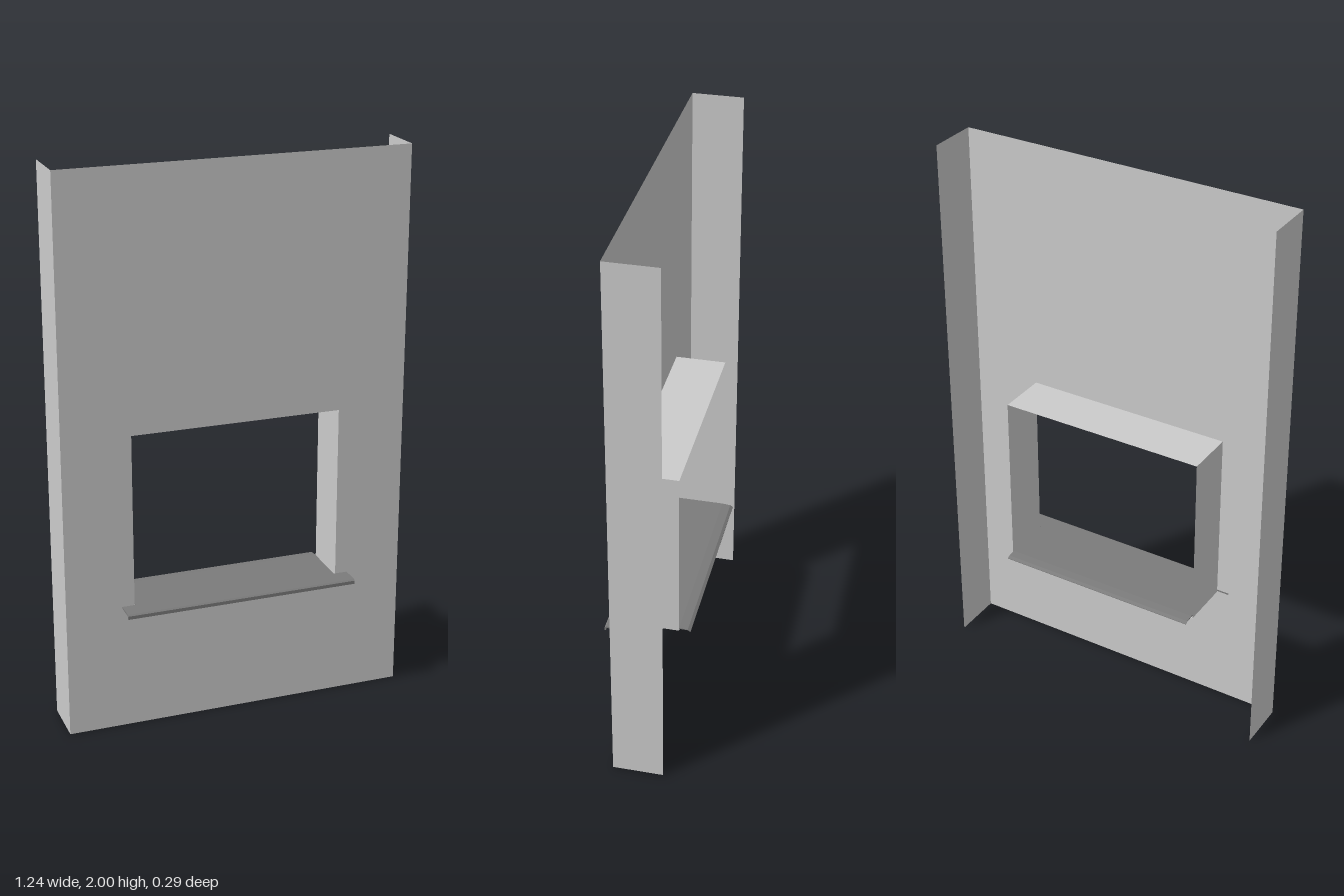
import * as THREE from 'three';

const W = 0.622, H = 2;                    // wall half width and height
const OX = 0.377, OY0 = 0.452, OY1 = 1.085; // window opening
const ZF = 0.072, ZB = -0.108;             // wall front and back planes

export function createModel() {
  const model = new THREE.Group();
  const wallMat = new THREE.MeshStandardMaterial({ color: 0xcccccc, side: THREE.DoubleSide });
  const sillMat = new THREE.MeshStandardMaterial({ color: 0x7b7b7b, side: THREE.DoubleSide });

  const add = (name, geometry, material) => {
    const mesh = new THREE.Mesh(geometry, material);
    mesh.name = name;
    model.add(mesh);
    return mesh;
  };
  const rect = (path, x, y0, y1) => path
    .moveTo(-x, y0).lineTo(x, y0).lineTo(x, y1).lineTo(-x, y1).closePath();

  // Front sheet of the wall with the window opening
  const face = new THREE.Shape();
  rect(face, W, 0, H);
  const hole = new THREE.Path();
  rect(hole, OX, OY0, OY1);
  face.holes.push(hole);
  add('wallFace', new THREE.ShapeGeometry(face), wallMat).position.z = ZF;

  // Outer returns and window jambs, mirrored left and right
  const depth = ZF - ZB, zMid = (ZF + ZB) / 2;
  for (const [side, s] of [['left', 1], ['right', -1]]) {
    const wallReturn = add(side + 'WallReturn', new THREE.PlaneGeometry(depth, H), wallMat);
    wallReturn.rotation.y = s * Math.PI / 2;
    wallReturn.position.set(s * W, H / 2, zMid);

    const jamb = add(side + 'Jamb', new THREE.PlaneGeometry(depth, OY1 - OY0), wallMat);
    jamb.rotation.y = -s * Math.PI / 2;
    jamb.position.set(s * OX, (OY0 + OY1) / 2, zMid);
  }

  // Head and bottom of the opening
  for (const [name, y, s] of [['head', OY1, 1], ['openingBottom', OY0, -1]]) {
    const panel = add(name, new THREE.PlaneGeometry(OX * 2, depth), wallMat);
    panel.rotation.x = s * Math.PI / 2;
    panel.position.set(0, y, zMid);
  }

  // Sill pieces: a [z, y] profile extruded across the width
  const sillPiece = (name, profile, halfWidth) => {
    const shape = new THREE.Shape(profile.map(([z, y]) => new THREE.Vector2(-z, y)));
    const geo = new THREE.ExtrudeGeometry(shape, { depth: halfWidth * 2, bevelEnabled: false });
    geo.translate(0, 0, -halfWidth).rotateY(Math.PI / 2);
    add(name, geo, sillMat);
  };
  // Wide front nose with a turned-down drip edge
  sillPiece('sillNose', [
    [ZF, 0.461], [0.139, 0.461], [0.145, 0.457], [0.145, 0.445],
    [0.140, 0.445], [0.140, 0.454], [0.137, 0.455], [ZF, 0.455],
  ], 0.422);
  // Narrower bed through the opening, dropping slightly at the back
  sillPiece('sillBed', [
    [ZF, 0.461], [ZB, 0.461], [-0.138, 0.458], [-0.148, 0.452],
    [-0.148, 0.450], [-0.138, 0.456], [ZB, 0.457], [ZF, 0.457],
  ], 0.373);

  return model;
}
